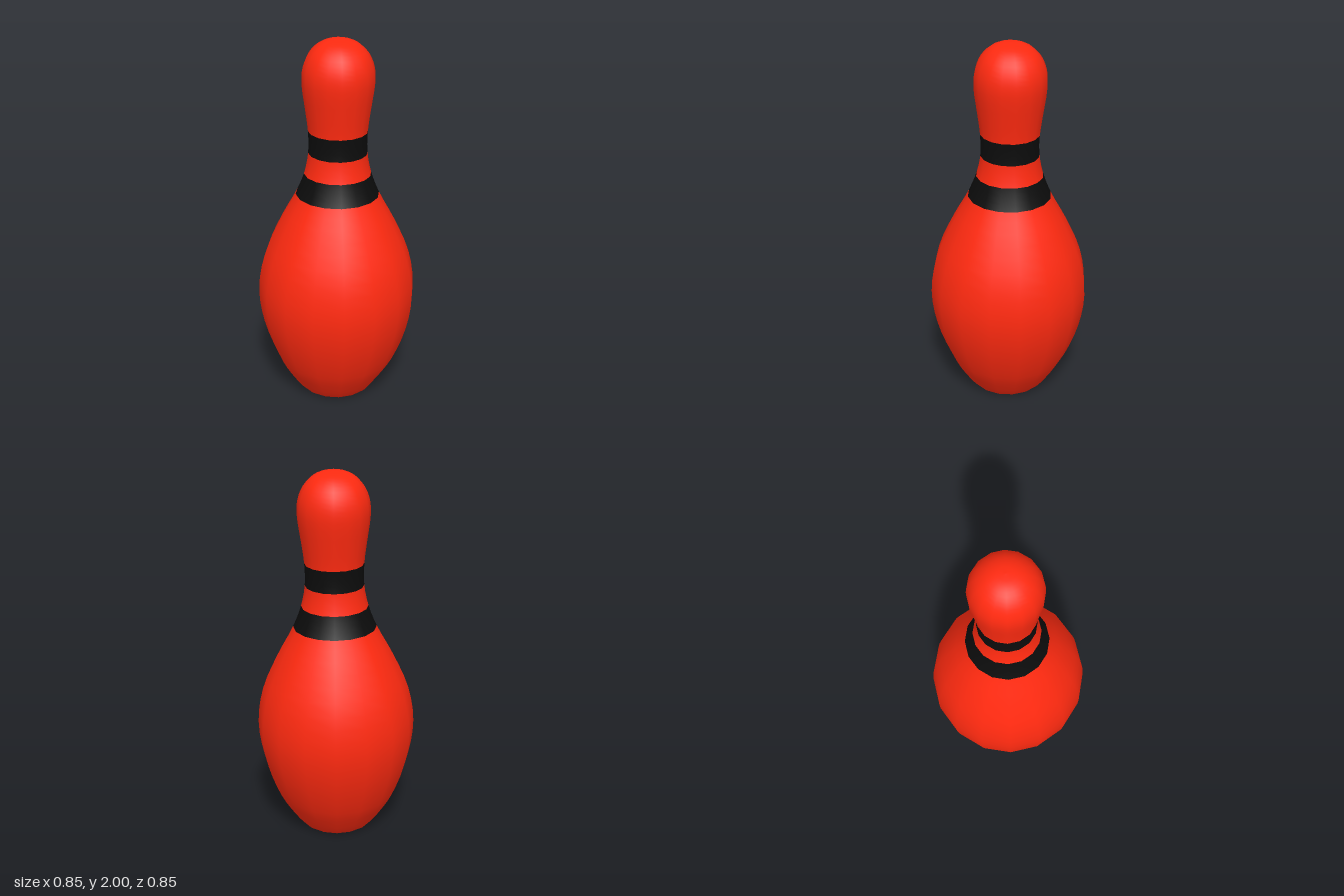
import * as THREE from 'three';

const SIDES = 16;
const STEPS = 3; // smooth rings between two profile points

// Radius and height, from the rim of the foot to the crown
const PROFILE = [
  [0.188, 0], [0.203, 0.012], [0.26, 0.09], [0.325, 0.2], [0.398, 0.4], [0.425, 0.6], [0.394, 0.8],
  [0.308, 1.0], [0.222, 1.16], [0.178, 1.275], [0.156, 1.39], [0.157, 1.51], [0.172, 1.63],
  [0.19, 1.77], [0.184, 1.85], [0.155, 1.92], [0.107, 1.969], [0.055, 1.992], [0, 1.998],
];

export function createModel() {
  const pin = new THREE.Group();
  pin.name = 'bowlingPin';
  const red = new THREE.MeshStandardMaterial({ color: 0xff2a10 });
  const black = new THREE.MeshStandardMaterial({ color: 0x0c0c0c });

  const curve = new THREE.CatmullRomCurve3(PROFILE.map(([r, y]) => new THREE.Vector3(r, y, 0)));
  const rings = (PROFILE.length - 1) * STEPS;
  const points = Array.from({ length: rings + 1 }, (_, i) => {
    const p = curve.getPoint(i / rings);
    return new THREE.Vector2(Math.max(0, p.x), Math.max(0, p.y));
  });
  points[rings].x = 0;
  const whole = new THREE.LatheGeometry(points, SIDES);

  // One zone of the turned surface; all zones share the same smooth normals
  function zone(name, from, to, material) {
    const geometry = whole.clone();
    const index = [];
    const n = points.length;
    for (let s = 0; s < SIDES; s++) {
      for (let j = from * STEPS; j < to * STEPS; j++) {
        const a = s * n + j;
        const b = a + n;
        index.push(a, b, a + 1, b + 1, a + 1, b);
      }
    }
    geometry.setIndex(index);
    const mesh = new THREE.Mesh(geometry, material);
    mesh.name = name;
    pin.add(mesh);
  }

  zone('belly', 0, 8, red);
  zone('lowerStripe', 8, 9, black);
  zone('neck', 9, 10, red);
  zone('upperStripe', 10, 11, black);
  zone('head', 11, PROFILE.length - 1, red);

  // Flat underside
  const foot = new THREE.Mesh(new THREE.CircleGeometry(PROFILE[0][0], SIDES), red);
  foot.name = 'foot';
  foot.rotation.x = Math.PI / 2;
  pin.add(foot);

  // The pin leans very slightly backwards and to its left
  pin.rotation.set(-0.011, 0, -0.006);
  pin.position.set(-0.006, 0.002, 0.011);

  const model = new THREE.Group();
  model.name = 'model';
  model.add(pin);
  return model;
}
